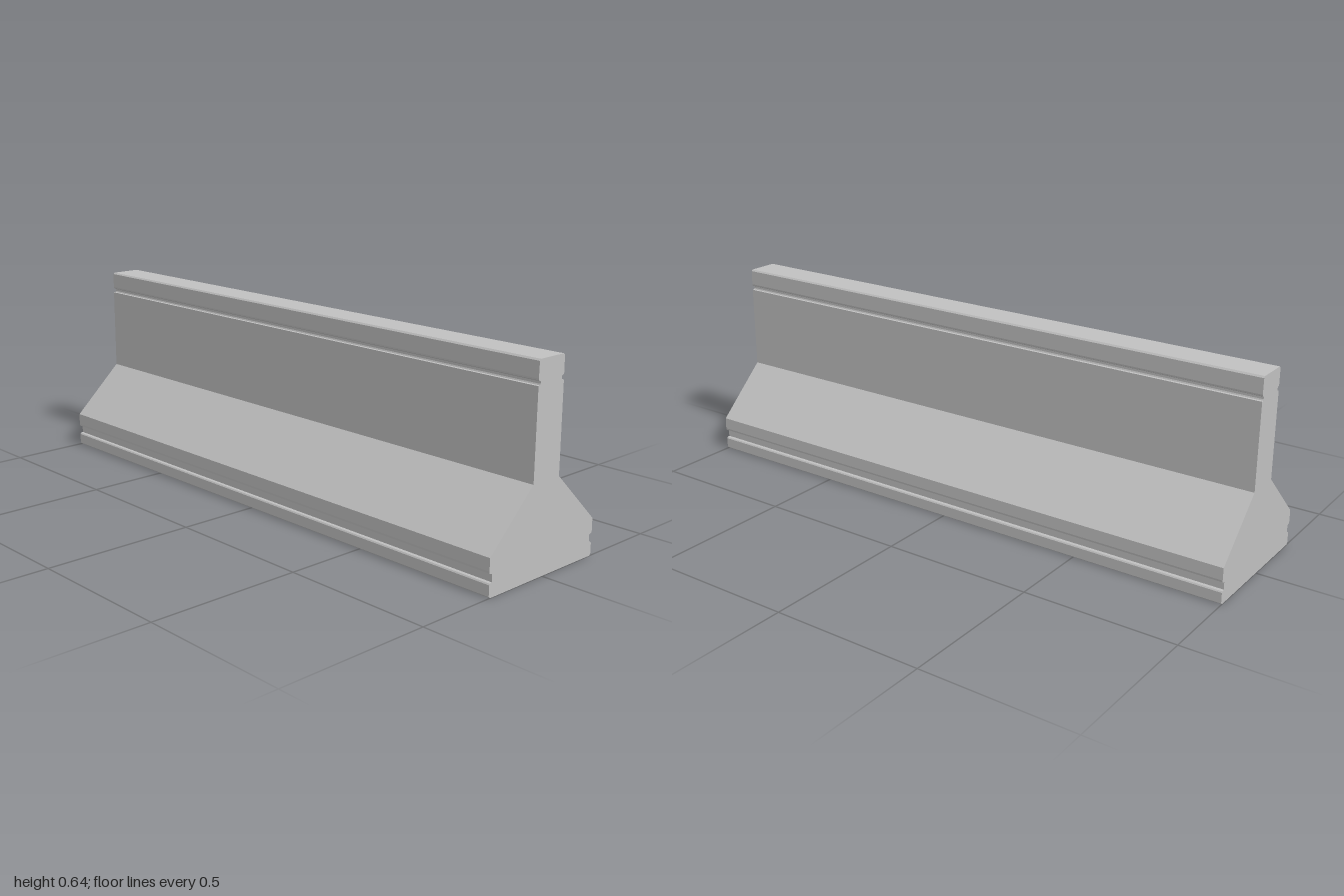
import * as THREE from 'three';

export function createModel() {
  const group = new THREE.Group();
  const concrete = new THREE.MeshStandardMaterial({ color: 0xc0c0c0 });
  concrete.name = 'concrete grey';

  // Right half of the cross-section, from the bottom up
  const half = [
    [0.229, 0.001], [0.235, 0.006], [0.235, 0.040], [0.232, 0.044],
    [0.224, 0.046], [0.224, 0.070],                    // foot groove
    [0.235, 0.074], [0.236, 0.080], [0.235, 0.119],
    [0.058, 0.287],                                    // sloped shoulder
    [0.057, 0.567], [0.050, 0.568], [0.048, 0.572],    // rail groove
    [0.048, 0.579], [0.056, 0.583], [0.057, 0.588],
    [0.056, 0.637], [0.051, 0.642],                    // rounded top edge
  ];
  const mirrored = half.map(([x, y]) => [-x, y]).reverse();
  const outline = [...half, ...mirrored].map(([x, y]) => new THREE.Vector2(x, y));

  // Long barrier body, swept along z
  const geometry = new THREE.ExtrudeGeometry(new THREE.Shape(outline), {
    depth: 2, bevelEnabled: false,
  });
  geometry.translate(0, -0.001, -1);
  const body = new THREE.Mesh(geometry, concrete);
  body.name = 'barrierBody';
  group.add(body);
  group.name = 'barrier';
  return group;
}
